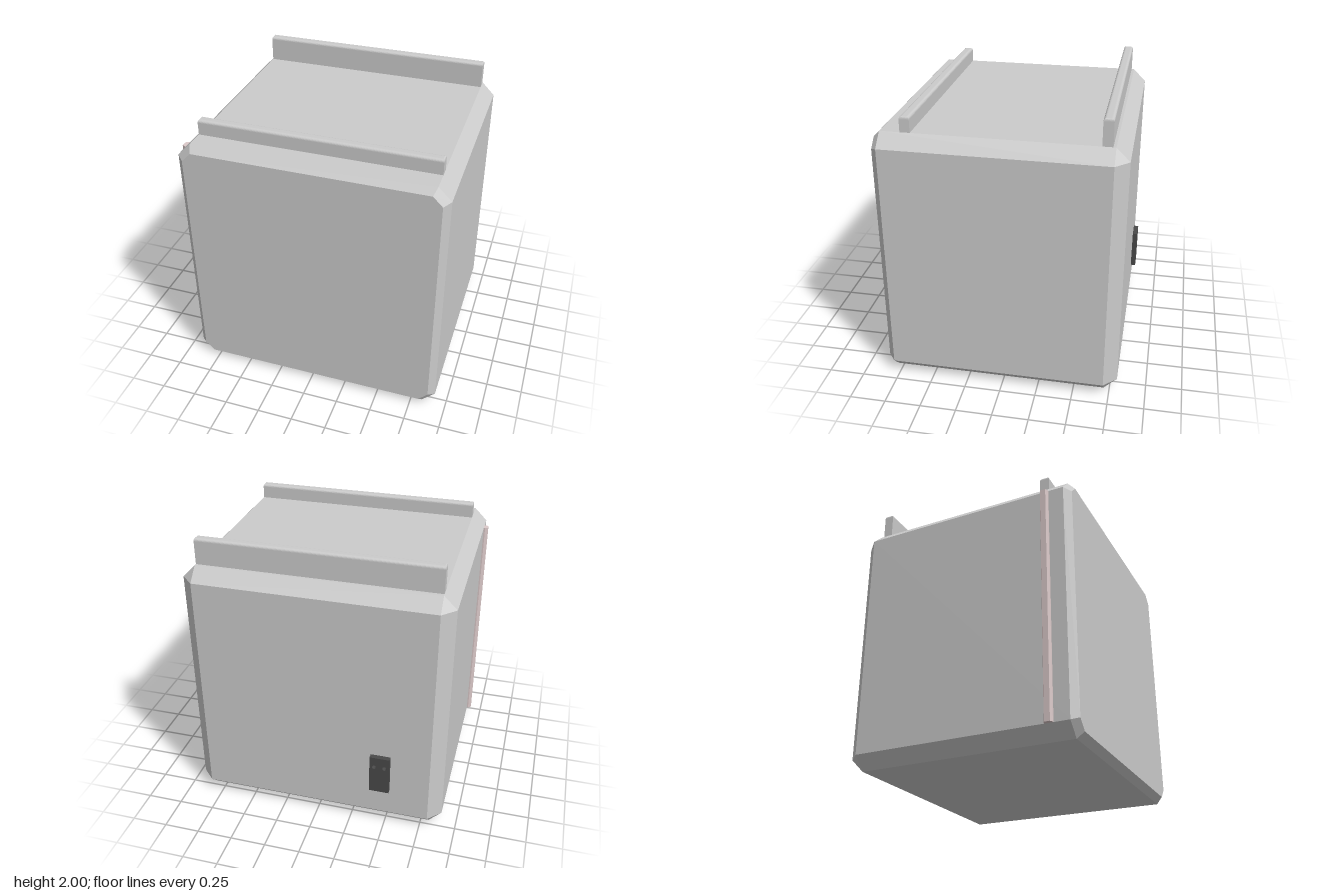
import * as THREE from 'three';

// Rectangle with cut corners at height z, counter-clockwise seen from +z
function ring(hw, hh, cut, z) {
  return [
    [hw, -hh + cut], [hw, hh - cut], [hw - cut, hh], [-hw + cut, hh],
    [-hw, hh - cut], [-hw, -hh + cut], [-hw + cut, -hh], [hw - cut, -hh],
  ].map(([x, y]) => new THREE.Vector3(x, y, z));
}

// Flat-faced skin over rings stacked along +z, capped at both ends
function loft(rings) {
  const points = [];
  const face = (a, b, c) => {
    if (new THREE.Triangle(a, b, c).getArea() > 1e-8) points.push(a, b, c);
  };
  for (let k = 0; k < rings.length - 1; k++) {
    const a = rings[k], b = rings[k + 1];
    for (let i = 0; i < a.length; i++) {
      const j = (i + 1) % a.length;
      face(a[i], a[j], b[j]);
      face(a[i], b[j], b[i]);
    }
  }
  const first = rings[0], last = rings[rings.length - 1];
  for (let i = 1; i < first.length - 1; i++) {
    face(first[0], first[i + 1], first[i]);
    face(last[0], last[i], last[i + 1]);
  }
  const geometry = new THREE.BufferGeometry().setFromPoints(points);
  geometry.computeVertexNormals();
  return geometry;
}

export function createModel() {
  const model = new THREE.Group();
  const grey = new THREE.MeshStandardMaterial({ color: 0xcccccc });
  const dark = new THREE.MeshStandardMaterial({ color: 0x4a4a4a });
  const pink = new THREE.MeshStandardMaterial({ color: 0xdccaca });
  const cx = 0.0125;

  const add = (name, geometry, material, x, y, z) => {
    const mesh = new THREE.Mesh(geometry, material);
    mesh.name = name;
    mesh.position.set(x, y, z);
    model.add(mesh);
    return mesh;
  };

  // Chamfered cube: wide bevel at the back, narrow bevel around the front
  const hw = 0.9075, hh = 0.91, cut = 0.09;
  add('body', loft([
    ring(hw - cut, hh - cut, 0, -0.8),
    ring(hw, hh, cut, -0.71),
    ring(hw, hh, cut, 0.79),
    ring(hw - 0.045, hh - 0.045, 0.065, 0.835),
  ]), grey, cx, 0.91, 0);

  // Top rails with rounded upper edges
  const rail = (name, height, z) => {
    const r = 0.018, rings = [ring(0.8175, 0.0335, 0, 0)];
    for (let i = 0; i <= 5; i++) {
      const t = (i / 5) * Math.PI / 2;
      const inset = r * (1 - Math.cos(t));
      rings.push(ring(0.8175 - inset * 0.5, 0.0335 - inset, 0, height - r + r * Math.sin(t)));
    }
    add(name, loft(rings).rotateX(-Math.PI / 2), grey, cx, 1.82, z);
  };
  rail('rearRail', 0.18, -0.658);
  rail('frontRail', 0.105, 0.621);

  // Tapered vertical strip on the right side
  const profile = new THREE.Shape([
    [-0.89, 0.685], [-0.905, 0.685], [-0.925, 0.675], [-0.925, 0.637], [-0.905, 0.627], [-0.89, 0.627],
  ].map(([x, z]) => new THREE.Vector2(x, -z)));
  const strip = new THREE.ExtrudeGeometry(profile, { depth: 1.64, bevelEnabled: false });
  add('sideStrip', strip.rotateX(-Math.PI / 2), pink, 0, 0.09, 0);

  // Back socket plate with two holes
  const plate = new THREE.Shape([[-0.07, -0.145], [0.07, -0.145], [0.07, 0.145], [-0.07, 0.145]]
    .map(([x, y]) => new THREE.Vector2(x, y)));
  for (const side of [-1, 1]) {
    plate.holes.push(new THREE.Path().absarc(side * 0.036, 0.065, 0.015, 0, Math.PI * 2, true));
  }
  add('socketPlate', new THREE.ExtrudeGeometry(plate, { depth: 0.035, bevelEnabled: false, curveSegments: 16 }),
    dark, -0.46, 0.44, -0.836);

  // Dark bottoms of the holes
  const black = new THREE.MeshStandardMaterial({ color: 0x111111 });
  for (const side of [-1, 1]) {
    add('socketHole', new THREE.CircleGeometry(0.015, 16).rotateY(Math.PI), black, -0.46 + side * 0.036, 0.505, -0.803);
  }
  return model;
}
